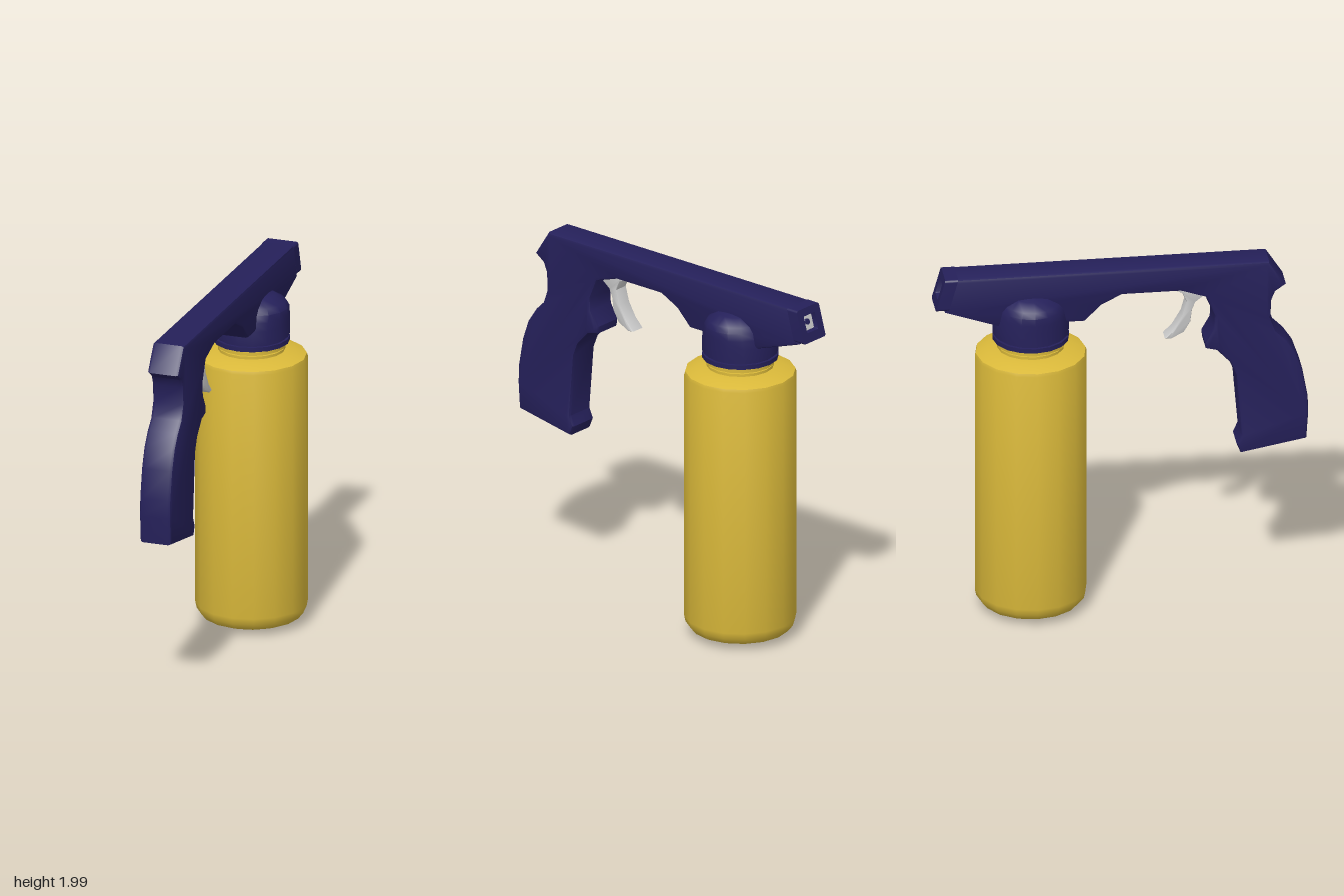
import * as THREE from 'three';
import { toCreasedNormals } from 'three/addons/utils/BufferGeometryUtils.js';

const navy = new THREE.MeshStandardMaterial({ color: 0x25205a });
const yellow = new THREE.MeshStandardMaterial({ color: 0xdab93a });
const grey = new THREE.MeshStandardMaterial({ color: 0xcccccc });

const BOTTLE_Z = -0.48;

function addMesh(group, name, geometry, material, crease = 0.6) {
  const mesh = new THREE.Mesh(toCreasedNormals(geometry, crease), material);
  mesh.name = name;
  group.add(mesh);
  return mesh;
}

// Side outline given as [z, y] points, extruded across x and centred on x = 0
function sidePlate(points, width, bevel) {
  const shape = new THREE.Shape(points.map(([z, y]) => new THREE.Vector2(z, y)));
  const depth = width - 2 * bevel;
  return new THREE.ExtrudeGeometry(shape, {
    depth, bevelThickness: bevel, bevelSize: bevel, bevelOffset: -bevel, bevelSegments: 2,
  }).translate(0, 0, -depth / 2).rotateY(-Math.PI / 2);
}

// Sixteen-sided turned part from [radius, y] points, bottom to top
function turned(points) {
  return new THREE.LatheGeometry(points.map(([r, y]) => new THREE.Vector2(r, y)), 16);
}

// Slope of the muzzle face: lean z back as y rises
function lean(geometry) {
  const p = geometry.attributes.position;
  for (let i = 0; i < p.count; i++) p.setZ(i, p.getZ(i) + (p.getY(i) - 1.81) * 0.28);
  return geometry;
}

function roundedRect(target, x0, y0, x1, y1, r) {
  target.moveTo(x0 + r, y0).lineTo(x1 - r, y0).quadraticCurveTo(x1, y0, x1, y0 + r)
    .lineTo(x1, y1 - r).quadraticCurveTo(x1, y1, x1 - r, y1)
    .lineTo(x0 + r, y1).quadraticCurveTo(x0, y1, x0, y1 - r)
    .lineTo(x0, y0 + r).quadraticCurveTo(x0, y0, x0 + r, y0);
  return target;
}

export function createModel() {
  const model = new THREE.Group();
  model.name = 'sprayGun';

  // Barrel and pistol grip in one piece
  addMesh(model, 'gripAndBarrel', sidePlate([
    [0.79, 1.99], [-0.9, 1.99], [-0.95, 1.795], [-0.67, 1.7], [-0.2, 1.7], [-0.11, 1.79],
    [0, 1.845], [0.315, 1.845], [0.45, 1.8], [0.495, 1.69], [0.49, 1.615], [0.445, 1.535],
    [0.45, 1.495], [0.51, 1.48], [0.58, 1.405], [0.61, 1.33], [0.64, 0.975], [0.615, 0.92],
    [0.637, 0.865], [0.99, 0.93], [1, 1.08], [0.997, 1.18], [0.968, 1.34], [0.93, 1.45],
    [0.88, 1.525], [0.825, 1.58], [0.797, 1.66], [0.802, 1.76], [0.823, 1.81], [0.88, 1.85],
  ], 0.18, 0.018), navy);

  // Muzzle frame with a window
  const frame = roundedRect(new THREE.Shape(), -0.09, 1.81, 0.09, 1.99, 0.015);
  frame.holes.push(roundedRect(new THREE.Path(), -0.045, 1.86, 0.045, 1.95, 0.006));
  addMesh(model, 'muzzleFrame',
    lean(new THREE.ExtrudeGeometry(frame, { depth: 0.07, bevelEnabled: false }).translate(0, 0, -1)), navy);

  // Nozzle plate with its outlet, set back in the window
  addMesh(model, 'nozzlePlate',
    lean(new THREE.BoxGeometry(0.09, 0.09, 0.03).translate(0, 1.905, -0.955)), grey);
  addMesh(model, 'nozzleOutlet',
    lean(new THREE.CylinderGeometry(0.016, 0.016, 0.02, 12).rotateX(Math.PI / 2).translate(0, 1.905, -0.968)), navy);

  // Curved trigger
  addMesh(model, 'trigger', sidePlate([
    [0.283, 1.87], [0.283, 1.834], [0.33, 1.81], [0.352, 1.76], [0.33, 1.68], [0.283, 1.6],
    [0.235, 1.55], [0.267, 1.545], [0.337, 1.58], [0.372, 1.64], [0.382, 1.715], [0.4, 1.755],
    [0.445, 1.79], [0.445, 1.87],
  ], 0.085, 0.007), grey);

  // Bottle with a stepped neck
  addMesh(model, 'bottle', turned([
    [0, 0], [0.12, 0.003], [0.2, 0.015], [0.265, 0.04], [0.293, 0.075], [0.3, 0.11],
    [0.3, 1.49], [0.295, 1.508], [0.235, 1.53], [0.18, 1.537], [0.18, 1.552], [0.165, 1.552],
    [0.165, 1.56], [0.185, 1.56], [0.185, 1.578], [0.16, 1.578], [0.16, 1.62], [0, 1.62],
  ]), yellow).position.z = BOTTLE_Z;

  // Locking ring under the cap
  addMesh(model, 'lockingRing', turned([
    [0.14, 1.587], [0.205, 1.587], [0.205, 1.612], [0.19, 1.612], [0.19, 1.65], [0.14, 1.65],
  ]), navy).position.z = BOTTLE_Z;

  // Domed cap, narrowing fore and aft towards the top
  const cap = turned([
    [0, 1.625], [0.205, 1.625], [0.205, 1.7], [0.205, 1.745], [0.204, 1.785], [0.187, 1.815],
    [0.13, 1.85], [0.07, 1.86], [0, 1.863],
  ]);
  const p = cap.attributes.position;
  for (let i = 0; i < p.count; i++) {
    const rise = Math.max(0, p.getY(i) - 1.7);
    p.setZ(i, p.getZ(i) * (1 - rise * 1.1));
  }
  addMesh(model, 'cap', cap, navy).position.z = BOTTLE_Z;

  return model;
}
